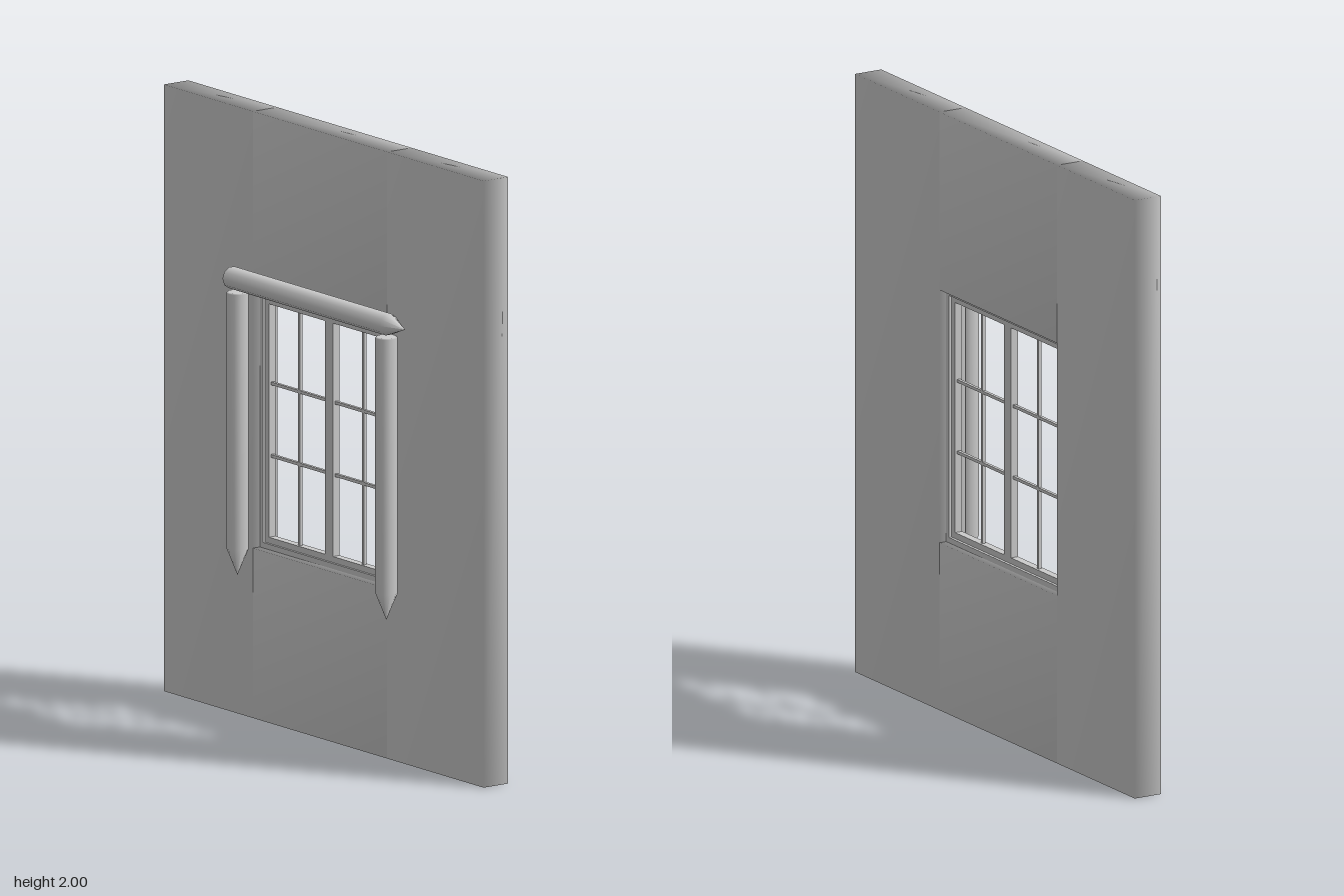
import * as THREE from 'three';
import { mergeVertices } from 'three/addons/utils/BufferGeometryUtils.js';

const material = new THREE.MeshStandardMaterial({ color: 0xcccccc });

// Box given by its limits; soft boxes share corner normals for rounded shading.
function block(parent, name, [x0, x1], [y0, y1], [z0, z1], soft = false) {
  let geometry = new THREE.BoxGeometry(x1 - x0, y1 - y0, z1 - z0);
  if (soft) {
    geometry.deleteAttribute('uv');
    geometry.deleteAttribute('normal');
    geometry = mergeVertices(geometry);
    geometry.computeVertexNormals();
  }
  const mesh = new THREE.Mesh(geometry, material);
  mesh.name = name;
  mesh.position.set((x0 + x1) / 2, (y0 + y1) / 2, (z0 + z1) / 2);
  parent.add(mesh);
}

// Rectangular frame of four bars.
function frame(parent, name, [x0, x1], [y0, y1], z, w) {
  block(parent, name + 'LeftBar', [x1 - w, x1], [y0, y1], z);
  block(parent, name + 'RightBar', [x0, x0 + w], [y0, y1], z);
  block(parent, name + 'TopBar', [x0 + w, x1 - w], [y1 - w, y1], z);
  block(parent, name + 'BottomBar', [x0 + w, x1 - w], [y0, y0 + w], z);
}

// Pole with a pointed lower end at y = 0.
function pole(parent, name, length, tip, r) {
  const profile = [[0, 0], [r, tip], [r, length - 0.004], [r * 0.9, length], [0, length]]
    .map(([x, y]) => new THREE.Vector2(x, y));
  const mesh = new THREE.Mesh(new THREE.LatheGeometry(profile, 10), material);
  mesh.name = name;
  parent.add(mesh);
  return mesh;
}

export function createModel() {
  const model = new THREE.Group();
  model.name = 'wallWithWindow';

  // Wall panels around the opening
  const wall = new THREE.Group();
  wall.name = 'wall';
  const depth = [-0.08, 0.018];
  block(wall, 'rightPanel', [-0.857, -0.38], [0, 2], depth, true);
  block(wall, 'leftPanel', [0.34, 0.857], [0, 2], depth, true);
  block(wall, 'lowerPanel', [-0.38, 0.34], [0, 0.56], depth, true);
  block(wall, 'upperPanel', [-0.38, 0.34], [1.405, 2], depth, true);
  model.add(wall);

  // Window: outer frame and two casements with glazing bars
  const win = new THREE.Group();
  win.name = 'window';
  frame(win, 'outerFrame', [-0.38, 0.34], [0.56, 1.405], [-0.055, -0.01], 0.018);
  for (const [name, x0, x1] of [['rightCasement', -0.362, -0.0205], ['leftCasement', -0.0195, 0.322]]) {
    frame(win, name, [x0, x1], [0.578, 1.387], [-0.045, -0.018], 0.02);
    const mid = (x0 + x1) / 2;
    block(win, name + 'Mullion', [mid - 0.005, mid + 0.005], [0.598, 1.367], [-0.037, -0.026]);
    for (const y of [0.865, 1.104])
      block(win, name + 'GlazingBar', [x0 + 0.02, x1 - 0.02], [y - 0.005, y + 0.005], [-0.037, -0.026]);
  }
  model.add(win);

  // Pointed poles: one at each side, one across the top
  const trim = new THREE.Group();
  trim.name = 'poleTrim';
  pole(trim, 'rightPole', 0.935, 0.09, 0.036).position.set(-0.421, 0.468, 0.049);
  pole(trim, 'leftPole', 0.935, 0.09, 0.036).position.set(0.377, 0.468, 0.049);
  const lintel = pole(trim, 'lintelPole', 0.935, 0.09, 0.036);
  lintel.position.set(0.475, 1.443, 0.047);
  lintel.rotation.z = Math.PI / 2;
  model.add(trim);

  return model;
}
